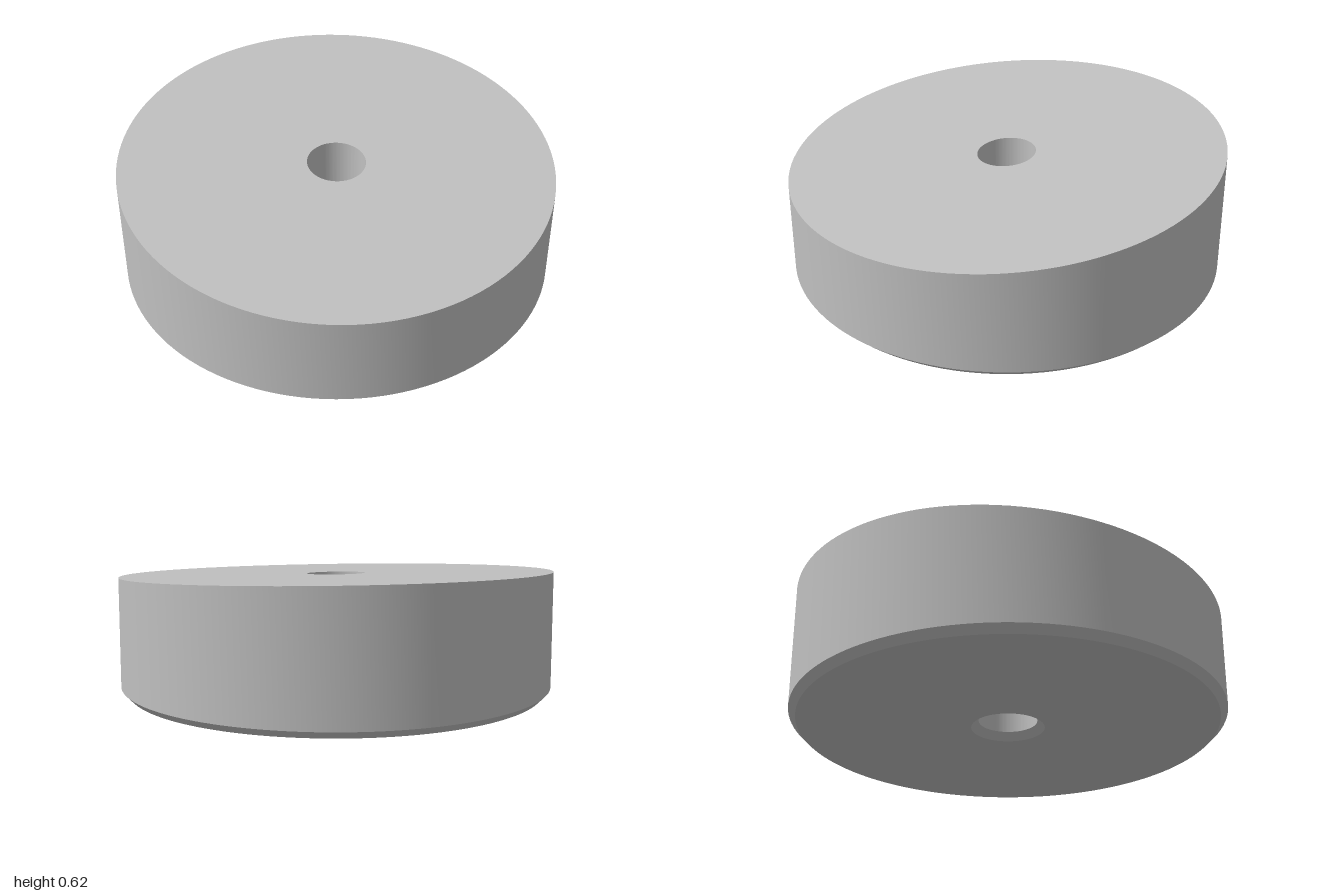
import * as THREE from 'three';
import { toCreasedNormals } from 'three/addons/utils/BufferGeometryUtils.js';

const R = 1, HOLE = 0.135, CHAMFER = 0.034, MID = 0.54;
// Height of the slanted top plane
const topHeight = (x, z) => MID - 0.061 * x - 0.053 * z;

export function createModel() {
  const group = new THREE.Group();
  group.name = 'slantedDisc';
  const grey = new THREE.MeshStandardMaterial({ color: 0xc0c0c0 });
  grey.name = 'plain grey';

  // Closed ring profile: chamfered rim, top, bore and chamfered underside
  const profile = [
    [R - CHAMFER, 0], [R, CHAMFER], [R, MID], [HOLE, MID],
    [HOLE, CHAMFER], [HOLE + CHAMFER, 0], [R - CHAMFER, 0],
  ].map(([r, y]) => new THREE.Vector2(r, y));
  const geometry = new THREE.LatheGeometry(profile, 128);

  // Tilt the top by moving its vertices straight up or down
  const pos = geometry.attributes.position;
  for (let i = 0; i < pos.count; i++) {
    if (pos.getY(i) > MID - 0.01) pos.setY(i, topHeight(pos.getX(i), pos.getZ(i)));
  }

  const body = new THREE.Mesh(toCreasedNormals(geometry, 0.5), grey);
  body.name = 'discBody';
  group.add(body);
  return group;
}
